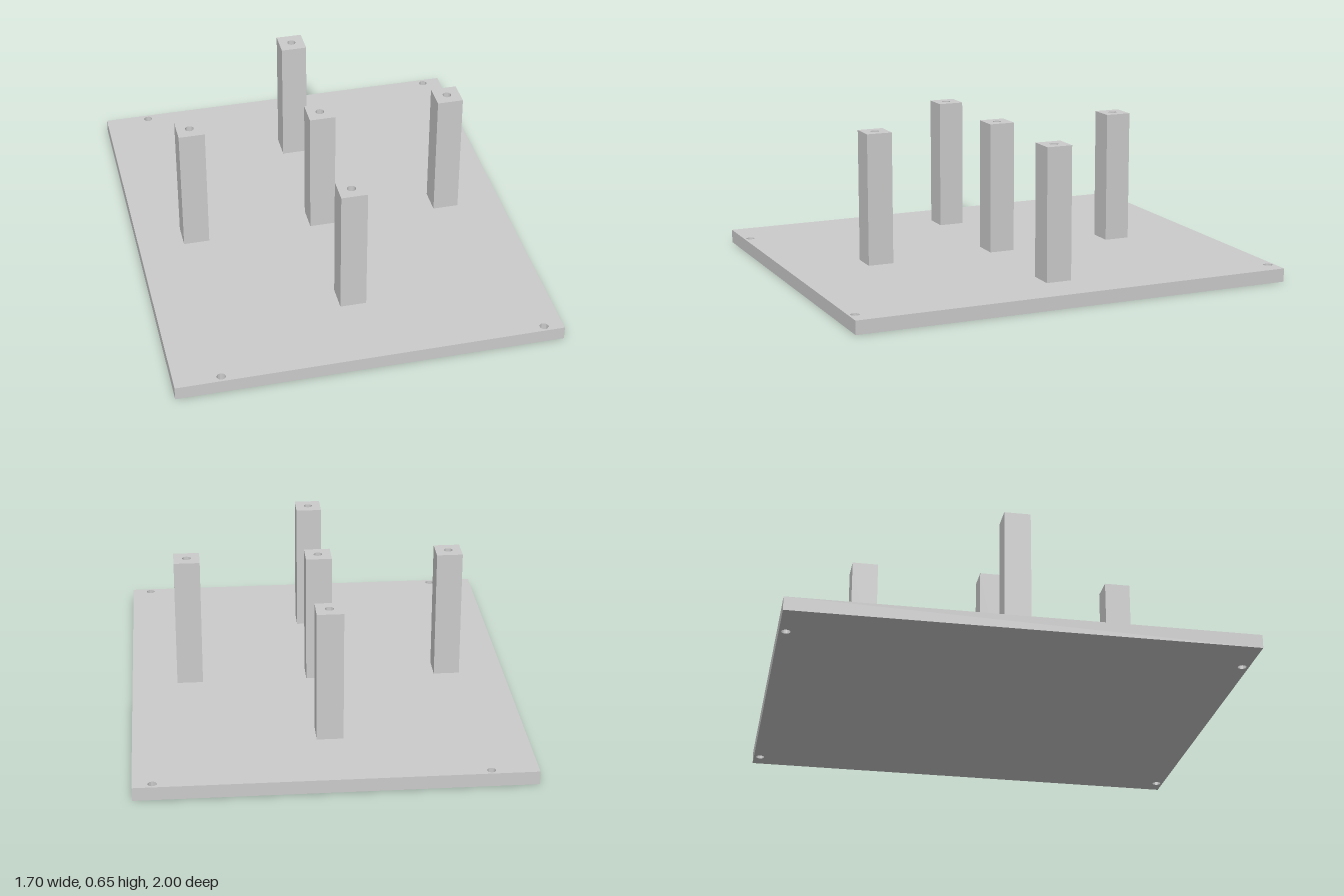
import * as THREE from 'three';
import { toCreasedNormals } from 'three/addons/utils/BufferGeometryUtils.js';

const material = new THREE.MeshStandardMaterial({ color: 0xcccccc });
const PLATE = { width: 1.7, depth: 2, height: 0.06 };
const POST = { width: 0.116, height: 0.59, offset: 0.588 };
const HOLE_RADIUS = 0.019;

// Upright rectangular block with round vertical holes, standing on y = 0
function drilledBlock(name, width, depth, height, holes) {
  const w = width / 2, d = depth / 2;
  const shape = new THREE.Shape([
    new THREE.Vector2(-w, -d), new THREE.Vector2(w, -d),
    new THREE.Vector2(w, d), new THREE.Vector2(-w, d),
  ]);
  for (const [x, z] of holes) {
    shape.holes.push(new THREE.Path().absarc(x, -z, HOLE_RADIUS, 0, Math.PI * 2, true));
  }
  const geometry = new THREE.ExtrudeGeometry(shape, { depth: height, bevelEnabled: false, curveSegments: 32 });
  geometry.rotateX(-Math.PI / 2);
  const mesh = new THREE.Mesh(toCreasedNormals(geometry, 0.6), material);
  mesh.name = name;
  return mesh;
}

export function createModel() {
  const model = new THREE.Group();
  model.name = 'postedPlate';

  // Base plate with four mounting holes, offset toward +x
  const mountingHoles = [];
  for (const x of [-0.648, 0.765]) for (const z of [-0.971, 0.971]) mountingHoles.push([x, z]);
  model.add(drilledBlock('basePlate', PLATE.width, PLATE.depth, PLATE.height, mountingHoles));

  // Five square posts in a cross, each bored down its axis
  const o = POST.offset;
  const posts = {
    centrePost: [0, 0], leftPost: [o, 0], rightPost: [-o, 0], frontPost: [0, o], backPost: [0, -o],
  };
  for (const [name, [x, z]] of Object.entries(posts)) {
    const post = drilledBlock(name, POST.width, POST.width, POST.height, [[0, 0]]);
    post.position.set(x, PLATE.height, z);
    model.add(post);
  }
  return model;
}
